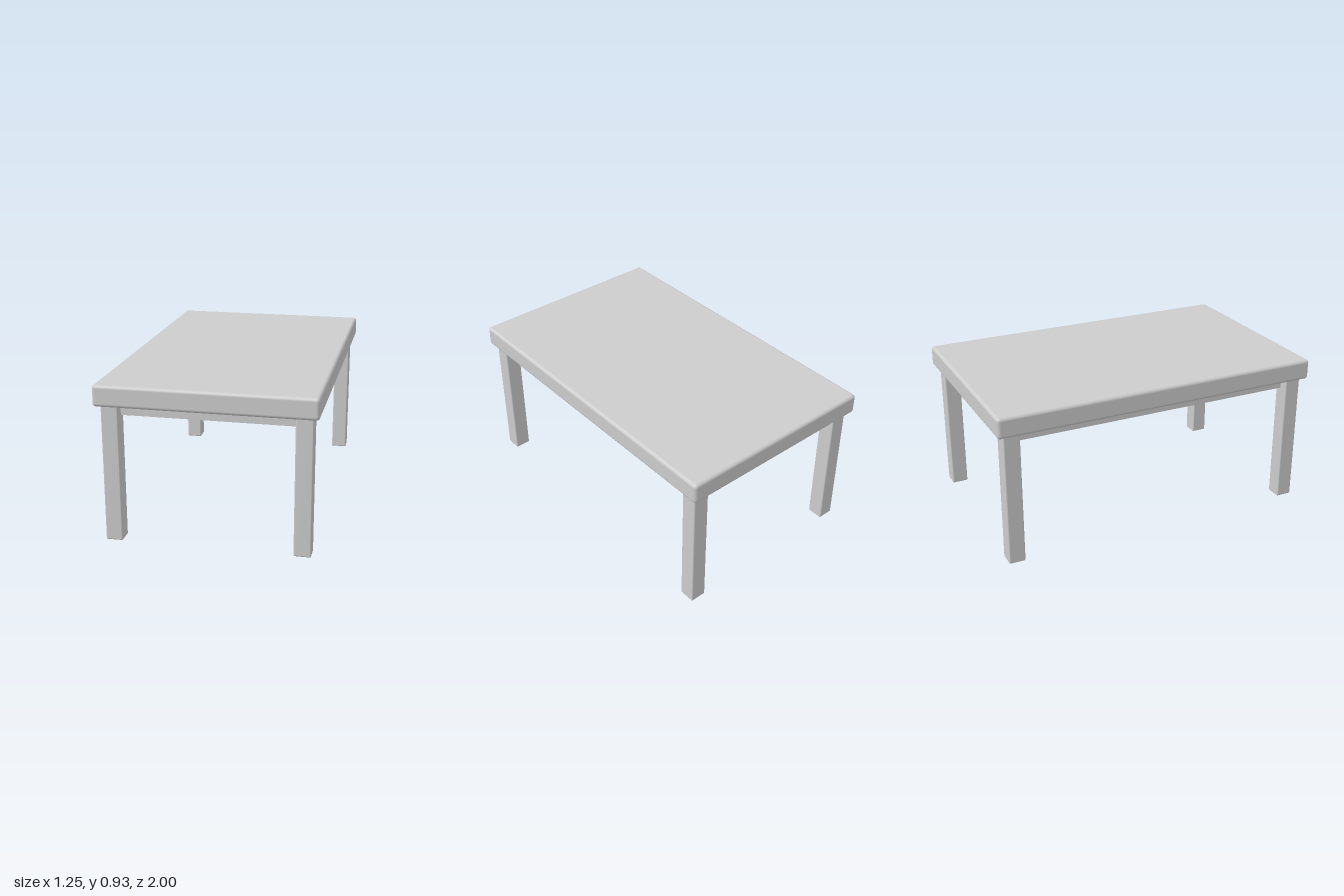
import * as THREE from 'three';
import { RoundedBoxGeometry } from 'three/addons/geometries/RoundedBoxGeometry.js';

const TOP_Y = 0.927; // upper face of the tabletop
const SEAM_Y = 0.803; // underside of the tabletop, where the legs meet it

export function createModel() {
  const model = new THREE.Group();
  model.name = 'table';

  const grey = new THREE.MeshStandardMaterial({ color: 0xcccccc });
  grey.name = 'light grey';

  function add(name, geometry, x, y, z) {
    const mesh = new THREE.Mesh(geometry, grey);
    mesh.name = name;
    mesh.position.set(x, y, z);
    model.add(mesh);
  }

  // Thick tabletop with softened edges
  const thickness = TOP_Y - SEAM_Y;
  add('tabletop', new RoundedBoxGeometry(1.245, thickness, 2, 4, 0.02), 0, SEAM_Y + thickness / 2, 0);

  // Solid apron slab under the top, running into the middle of each leg
  const apronBottom = 0.737;
  const apronHeight = SEAM_Y + 0.01 - apronBottom;
  add('apron', new THREE.BoxGeometry(1.07, apronHeight, 1.81), 0, apronBottom + apronHeight / 2, 0);

  // Four square legs with slightly eased edges, set just inside the corners
  const legHeight = SEAM_Y + 0.02;
  const legGeometry = new RoundedBoxGeometry(0.098, legHeight, 0.098, 3, 0.008);
  for (const [side, sx] of [['Left', 1], ['Right', -1]]) {
    for (const [end, sz] of [['front', 1], ['back', -1]]) {
      add(`${end}${side}Leg`, legGeometry, sx * 0.54, legHeight / 2, sz * 0.912);
    }
  }

  return model;
}
